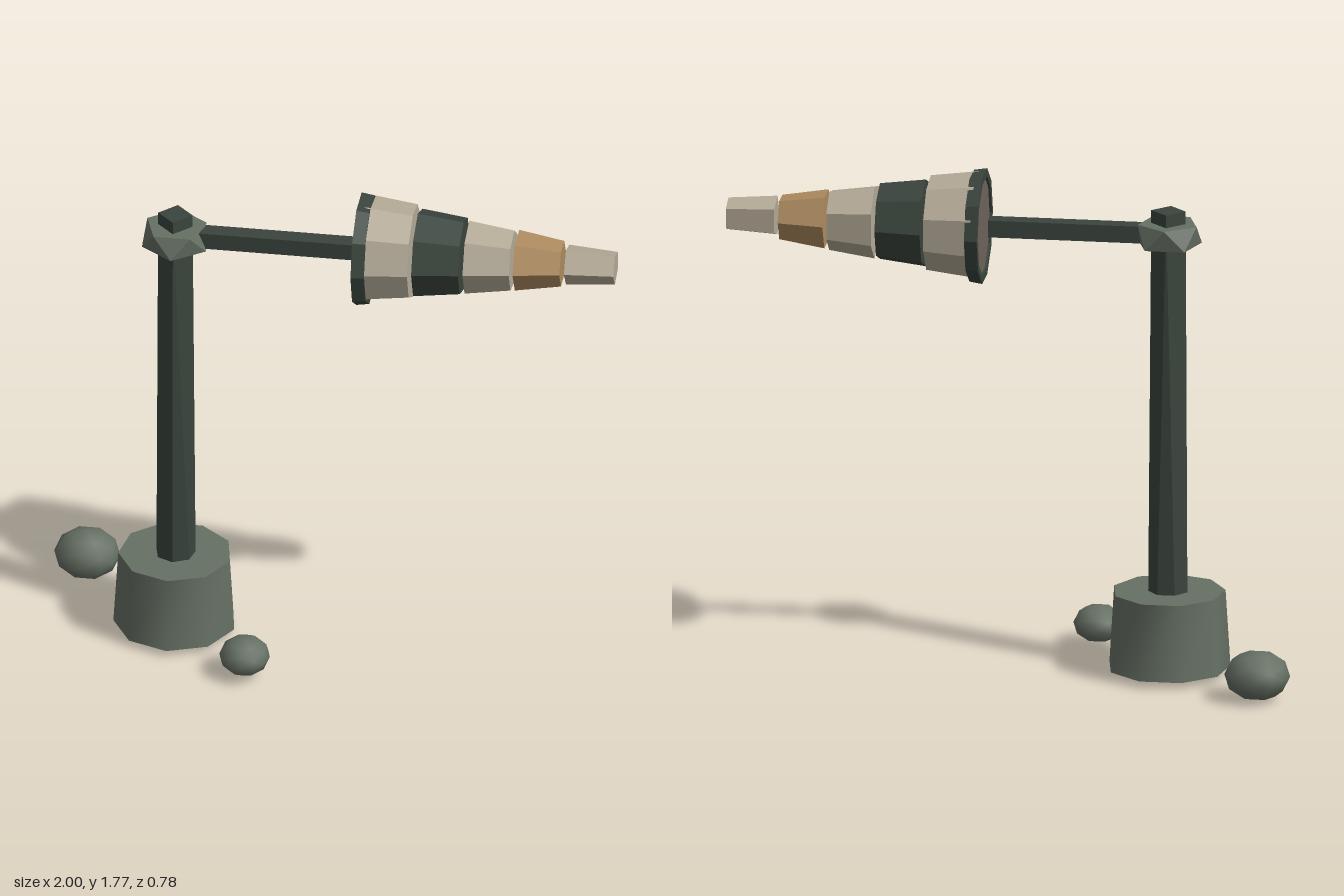
import * as THREE from 'three';
import { toCreasedNormals } from 'three/addons/utils/BufferGeometryUtils.js';
import { ConvexGeometry } from 'three/addons/geometries/ConvexGeometry.js';

const POLE_X = -0.535;
const SOCK_Y = 1.578;

function material(name, color, flatShading = true) {
  const m = new THREE.MeshStandardMaterial({ color, flatShading });
  m.name = name;
  return m;
}

// Regular ring of points around the vertical axis, first point towards +z
function ring(sides, radius, y, turn = 0) {
  return Array.from({ length: sides }, (_, i) => {
    const a = (i / sides) * Math.PI * 2 + turn;
    return new THREE.Vector3(Math.sin(a) * radius, y, Math.cos(a) * radius);
  });
}

export function createModel() {
  const model = new THREE.Group();
  model.name = 'windsock';

  const stone = material('stone grey green', 0x667064, false);
  const hubGreen = material('hub grey green', 0x667064);
  hubGreen.color = stone.color;
  const dark = material('dark green', 0x3a443d);
  const cream = material('cream cloth', 0xb5ab98);
  const tan = material('tan cloth', 0xaf8c60);
  const lining = material('brown lining', 0x6e655b);

  const add = (name, geometry, mat, x, y, z) => {
    const mesh = new THREE.Mesh(geometry, mat);
    mesh.name = name;
    mesh.position.set(x, y, z);
    model.add(mesh);
    return mesh;
  };

  // Foundation block with softly shaded sides
  const base = toCreasedNormals(new THREE.CylinderGeometry(0.197, 0.214, 0.272, 9), 0.8);
  add('base', base, stone, POLE_X, 0.159, 0);

  // Pole, tapering from seven sides to a square tip
  add('pole', new ConvexGeometry([...ring(7, 0.07, 0.29), ...ring(4, 0.06, 1.66)]), dark, POLE_X, 0, 0);

  // Twisted five-sided collar
  add('hub', new ConvexGeometry([...ring(5, 0.117, 1.54), ...ring(5, 0.108, 1.615, Math.PI)]), hubGreen, POLE_X, 0, 0);

  // Arm holding the sock
  add('arm', new THREE.BoxGeometry(0.57, 0.06, 0.06), dark, -0.195, 1.577, 0);

  // Rim around the mouth
  const profile = [[0.172, 0.105], [0.2, 0.105], [0.193, 0.15], [0.172, 0.15], [0.172, 0.105]]
    .map(([r, y]) => new THREE.Vector2(r, y));
  add('mouthRim', new THREE.LatheGeometry(profile, 10).rotateZ(-Math.PI / 2), dark, 0, SOCK_Y, 0);

  // Lining closing the mouth
  add('mouthLining', new THREE.CylinderGeometry(0.18, 0.18, 0.008, 10).rotateZ(-Math.PI / 2), lining, 0.117, SOCK_Y, 0);

  // Cloth bands: start x, end x, start radius, end radius, sides, colour
  [
    [0.13, 0.297, 0.187, 0.166, 9, cream],
    [0.31, 0.47, 0.156, 0.136, 8, dark],
    [0.485, 0.643, 0.13, 0.107, 7, cream],
    [0.656, 0.815, 0.105, 0.079, 6, tan],
    [0.83, 1.0, 0.073, 0.06, 5, cream],
  ].forEach(([x0, x1, r0, r1, sides, mat], i) => {
    const band = new THREE.CylinderGeometry(r1, r0, x1 - x0, sides).rotateZ(-Math.PI / 2);
    add(`sockBand${i + 1}`, band, mat, (x0 + x1) / 2, SOCK_Y + 0.003, 0);
  });

  // Rocks beside the base
  const rock = new THREE.IcosahedronGeometry(1, 1);
  add('largeRock', rock, stone, -0.885, 0.088, -0.285).scale.set(0.115, 0.088, 0.107);
  add('smallRock', rock, stone, -0.25, 0.08, 0.292).scale.set(0.088, 0.066, 0.092);

  return model;
}
